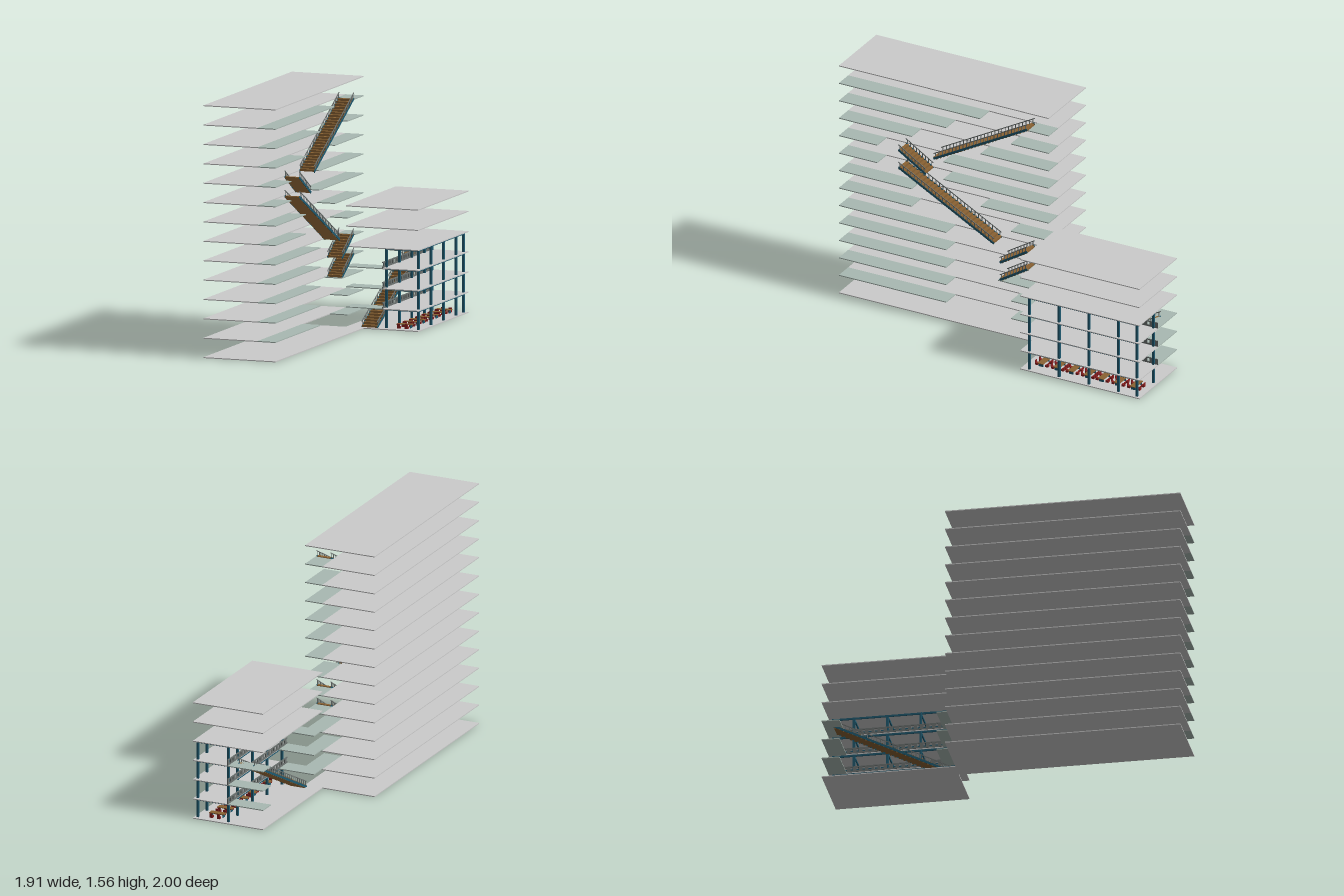
import * as THREE from 'three';

const mat = (color) => new THREE.MeshStandardMaterial({ color });
const GREY = mat(0xcccccc), GREEN = mat(0xa9b9b2), STEEL = mat(0x1f5a70);
const WOOD = mat(0x8a6233), RAIL = mat(0x6e7472), RED = mat(0x8c2020);

// Plan lines in the rotated building frame (x across, z along the building)
const STRIP_IN = -0.064, STRIP_OUT = 0.052, JOIN = -0.312;
const TOWER_BACK = -0.417, TOWER_END = 1.145;
const ANNEX_EDGE = 0.41, ANNEX_END = -1.14, GALLERY = 0.175;
const TOWER_STEP = 0.1193, ANNEX_STEP = 0.1245, SLAB = 0.006;

// Box given by its minimum and maximum on every axis
function block(parent, name, material, [x0, x1], [y0, y1], [z0, z1]) {
  const m = new THREE.Mesh(new THREE.BoxGeometry(x1 - x0, y1 - y0, z1 - z0), material);
  m.position.set((x0 + x1) / 2, (y0 + y1) / 2, (z0 + z1) / 2);
  m.name = name;
  parent.add(m);
  return m;
}

function part(parent, name) {
  const g = new THREE.Group();
  g.name = name;
  parent.add(g);
  return g;
}

// Sloped bar in the plane x = const, between two (y, z) points
function slopedBar(parent, name, material, x, w, h, y0, z0, y1, z1) {
  const m = new THREE.Mesh(new THREE.BoxGeometry(w, h, Math.hypot(y1 - y0, z1 - z0)), material);
  m.position.set(x, (y0 + y1) / 2, (z0 + z1) / 2);
  m.rotation.x = -Math.atan2(y1 - y0, z1 - z0);
  m.name = name;
  parent.add(m);
}

// One storey of stairs from (y0, z0) to (y1, z1)
function flight(parent, x, width, y0, z0, y1, z1) {
  const g = part(parent, 'stairFlight');
  const n = 9, dy = (y1 - y0) / n, dz = (z1 - z0) / n;
  for (let i = 0; i < n; i++) {
    const y = y0 + (i + 1) * dy, za = z0 + i * dz, zb = za + dz;
    block(g, 'tread', WOOD, [x - width / 2, x + width / 2], [y - dy, y],
      [Math.min(za, zb), Math.max(za, zb)]);
    for (const s of [-1, 1]) {
      const px = x + s * width / 2, pz = (za + zb) / 2;
      block(g, 'baluster', RAIL, [px - 0.0015, px + 0.0015], [y - dy, y + 0.03],
        [pz - 0.0025, pz + 0.0025]);
    }
  }
  for (const s of [-1, 1]) {
    const px = x + s * width / 2;
    slopedBar(g, 'stringer', STEEL, px, 0.004, 0.014, y0, z0, y1, z1);
    slopedBar(g, 'handrail', RAIL, px, 0.004, 0.005, y0 + 0.035, z0, y1 + 0.035, z1);
  }
}

// Run of several storeys
function stair(parent, name, x, width, y0, z0, y1, z1, storeys) {
  const g = part(parent, name);
  for (let i = 0; i < storeys; i++) {
    const a = i / storeys, b = (i + 1) / storeys;
    flight(g, x, width, y0 + (y1 - y0) * a, z0 + (z1 - z0) * a,
      y0 + (y1 - y0) * b, z0 + (z1 - z0) * b);
  }
}

function buildTower(root) {
  const tower = part(root, 'tower');
  // Edges of the open well on floors 1 to 12: far side, near side
  const wells = [[0.4, -0.05], [0.4, -0.05], [0.4, 0.04], [0.4, -0.17], [0.4, -0.17],
    [0.64, -0.05], [0.64, 0.16], [0.88, 0.42], [0.88, 0.42], [0.64, 0.16], [0.4, -0.05], [0.165, -0.17]];
  for (let k = 0; k <= 13; k++) {
    const y = [k * TOWER_STEP, k * TOWER_STEP + SLAB];
    const well = wells[k - 1];
    if (!well) {
      block(tower, 'floorSlab', GREY, [TOWER_BACK, STRIP_OUT], y, [JOIN, TOWER_END]);
      continue;
    }
    block(tower, 'floorSlab', GREY, [TOWER_BACK, STRIP_IN], y, [JOIN, TOWER_END]);
    block(tower, 'edgeFloor', GREEN, [STRIP_IN, STRIP_OUT], y, [well[0], TOWER_END]);
    block(tower, 'edgeFloor', GREEN, [STRIP_IN, STRIP_OUT], y, [JOIN, well[1]]);
  }
  // Stairs: start floor, end floor, start z, end z
  const runs = [[3, 4, 0.03, -0.16], [4, 5, 0.03, -0.16], [5, 8, 0.07, 0.735],
    [8, 9, 0.545, 0.735], [9, 12, 0.49, -0.16]];
  for (const [a, b, z0, z1] of runs) {
    stair(tower, 'towerStair', 0, 0.095, a * TOWER_STEP + SLAB, z0, b * TOWER_STEP + SLAB, z1, b - a);
  }
}

// Table with a chair on each long side
function tableSet(parent, x, z) {
  const g = part(parent, 'tableSet');
  block(g, 'tableTop', WOOD, [x - 0.05, x + 0.05], [0.026, 0.03], [z - 0.02, z + 0.02]);
  for (const sx of [-1, 1]) {
    const lx = x + sx * 0.04;
    block(g, 'tableLeg', STEEL, [lx - 0.002, lx + 0.002], [SLAB, 0.026], [z - 0.015, z + 0.015]);
    for (const sz of [-1, 1]) {
      const cx = x + sx * 0.025, cz = z + sz * 0.035;
      block(g, 'chairSeat', RED, [cx - 0.01, cx + 0.01], [SLAB, 0.019], [cz - 0.009, cz + 0.009]);
      const bz = cz + sz * 0.009;
      block(g, 'chairBack', RED, [cx - 0.01, cx + 0.01], [0.019, 0.035], [bz - 0.0015, bz + 0.0015]);
    }
  }
}

function buildAnnex(root) {
  const annex = part(root, 'annex');
  const WELL = [-1.03, -0.43];
  for (let k = 0; k <= 6; k++) {
    const y = [k * ANNEX_STEP, k * ANNEX_STEP + SLAB];
    if (k === 0 || k > 3) {
      block(annex, 'floorSlab', GREY, [STRIP_IN, ANNEX_EDGE], y, [ANNEX_END, JOIN]);
      continue;
    }
    block(annex, 'galleryFloor', GREY, [GALLERY, ANNEX_EDGE], y, [ANNEX_END, JOIN]);
    block(annex, 'landing', GREEN, [STRIP_IN, GALLERY], y, [ANNEX_END, WELL[0]]);
    block(annex, 'landing', GREEN, [STRIP_IN, GALLERY], y, [WELL[1], JOIN]);
    // Gallery balustrade with open bays
    const rail = part(annex, 'balustrade'), n = 22, step = (JOIN - ANNEX_END) / n;
    const x = [GALLERY - 0.003, GALLERY + 0.003];
    block(rail, 'bottomRail', RAIL, x, [y[1], y[1] + 0.01], [ANNEX_END, JOIN]);
    block(rail, 'topRail', RAIL, x, [y[1] + 0.031, y[1] + 0.038], [ANNEX_END, JOIN]);
    for (let i = 0; i < n; i++) {
      const z = ANNEX_END + i * step;
      block(rail, 'panel', RAIL, x, [y[1] + 0.01, y[1] + 0.031], [z, z + step * 0.55]);
    }
  }
  // Steel frame
  const rows = [0.183, 0.39], bays = [-0.365, -0.572, -0.778, -0.985, -1.112];
  const frame = part(annex, 'steelFrame'), top = 4 * ANNEX_STEP;
  for (const x of rows) {
    for (const z of bays) {
      block(frame, 'column', STEEL, [x - 0.007, x + 0.007], [SLAB, top], [z - 0.007, z + 0.007]);
    }
  }
  for (let k = 1; k <= 4; k++) {
    const y = [k * ANNEX_STEP - 0.011, k * ANNEX_STEP];
    for (const x of rows) {
      block(frame, 'longBeam', STEEL, [x - 0.004, x + 0.004], y, [bays[4], bays[0]]);
    }
    for (const z of bays) {
      block(frame, 'crossBeam', STEEL, rows, y, [z - 0.004, z + 0.004]);
    }
  }
  stair(annex, 'annexStair', 0.08, 0.1, SLAB, -0.34, 3 * ANNEX_STEP + SLAB, -1.08, 3);
  // Ground floor seating
  for (const z of [-0.41, -0.52, -0.62, -0.73, -0.83, -0.94, -1.05]) tableSet(annex, 0.285, z);
}

export function createModel() {
  const model = new THREE.Group();
  model.name = 'building';
  const root = part(model, 'rotatedPlan');
  root.rotation.y = -0.5557;
  buildTower(root);
  buildAnnex(root);
  return model;
}
